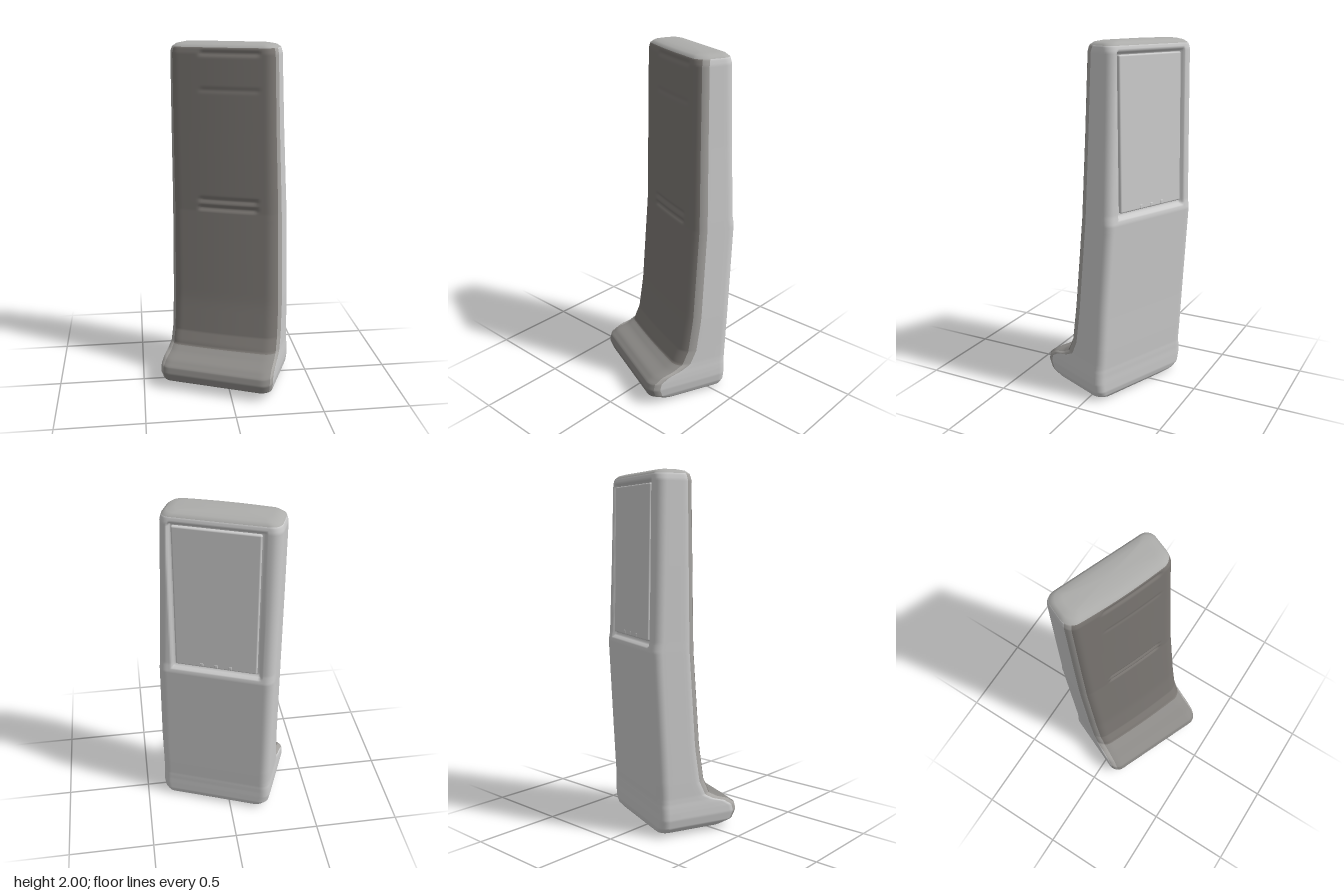
import * as THREE from 'three';
import { RoundedBoxGeometry } from 'three/addons/geometries/RoundedBoxGeometry.js';

// Body rings from bottom to top: y, left, right, back, front, corner radius
const RINGS = [
  [0.0, -0.23, 0.29, -0.185, 0.11, 0.06],
  [0.02, -0.3, 0.325, -0.203, 0.2, 0.065],
  [0.05, -0.327, 0.338, -0.211, 0.257, 0.065],
  [0.1, -0.337, 0.345, -0.212, 0.274, 0.065],
  [0.14, -0.336, 0.344, -0.212, 0.264, 0.065],
  [0.17, -0.334, 0.342, -0.213, 0.22, 0.07],
  [0.19, -0.332, 0.34, -0.213, 0.15, 0.075],
  [0.22, -0.331, 0.338, -0.215, 0.09, 0.075],
  [0.3, -0.333, 0.336, -0.22, 0.052, 0.075],
  [0.5, -0.336, 0.333, -0.231, 0.022, 0.075],
  [1.04, -0.343, 0.312, -0.264, -0.021, 0.07],
  [1.09, -0.343, 0.31, -0.256, -0.022, 0.07],
  [1.5, -0.345, 0.291, -0.247, -0.032, 0.065],
  [1.94, -0.346, 0.274, -0.239, -0.042, 0.06],
  [1.97, -0.339, 0.267, -0.233, -0.048, 0.06],
  [1.988, -0.315, 0.245, -0.214, -0.068, 0.05],
  [1.995, -0.28, 0.205, -0.185, -0.1, 0.03],
];
// The back turns slightly further out towards the left
const BACK_SKEW = 0.02;

const smooth = (a, b, x) => THREE.MathUtils.smoothstep(x, a, b);

function ringAt(y) {
  let i = 0;
  while (i < RINGS.length - 2 && y > RINGS[i + 1][0]) i++;
  const t = (y - RINGS[i][0]) / (RINGS[i + 1][0] - RINGS[i][0]);
  return RINGS[i].map((v, k) => THREE.MathUtils.lerp(v, RINGS[i + 1][k], t));
}

// How far a point lies inside a rectangle (negative when outside)
const inside = (x, y, x0, x1, y0, y1) => Math.min(x - x0, x1 - x, y - y0, y1 - y);

// Sunk bay on the back
const backDent = (x, y) => 0.022 * smooth(0, 0.016, inside(x, y, -0.275, 0.232, 1.062, 1.945));

// Creases across the middle and top of the front
function frontDent(x, y) {
  const ends = smooth(-0.17, -0.14, x) * (1 - smooth(0.17, 0.2, x));
  const crease = (y0, depth) => depth * ends * Math.max(0, 1 - Math.abs(y - y0) / 0.02);
  return crease(1.06, 0.012) + crease(1.11, 0.009) + crease(1.94, 0.008) + crease(1.74, 0.003);
}

// Gentle swell of the front above the foot, fuller towards the right-hand side
const frontSwell = (t, y) => smooth(0.14, 0.25, y) * (0.018 * t + 0.012 * Math.sin(Math.PI * t));

// One rounded rectangle of points, running from +x towards +z
function section(y) {
  const [, l, r, b, f, rad] = ringAt(y);
  const rb = Math.min(rad, 0.05);
  const pts = [];
  const side = (x0, z0, x1, z1, n, dent) => {
    for (let i = 1; i < n; i++) {
      const x = x0 + (x1 - x0) * i / n, z = z0 + (z1 - z0) * i / n;
      pts.push([x, y, z + (dent ? dent(x, y) : 0)]);
    }
  };
  const corner = (cx, cz, q, start) => {
    for (let i = 0; i <= 8; i++) {
      const a = start + i / 8 * Math.PI / 2;
      pts.push([cx + q * Math.cos(a), y, cz + q * Math.sin(a)]);
    }
  };
  corner(r - rad, f - rad, rad, 0);
  side(r - rad, f, l + rad, f, 40, (x, h) => -frontDent(x, h));
  corner(l + rad, f - rad, rad, Math.PI / 2);
  side(l, f - rad, l, b + rb, 5);
  corner(l + rb, b + rb, rb, Math.PI);
  side(l + rb, b, r - rb, b, 70, backDent);
  corner(r - rb, b + rb, rb, Math.PI * 1.5);
  side(r, b + rb, r, f - rad, 5);
  return pts.map(([x, h, z]) => {
    const t = (r - x) / (r - l), k = (z - b) / (f - b);
    return [x, h, z - BACK_SKEW * (1 - t) * (1 - k) + frontSwell(t, h) * k];
  });
}

// Builds the skin once and deals its faces out to the named parts
function skinParts() {
  const heights = [];
  for (let i = 0; i <= 50; i++) heights.push(i * 0.0064);
  for (let y = 0.36; y < 1.0; y += 0.04) heights.push(y);
  for (let i = 0; i <= 124; i++) heights.push(1 + i * 0.995 / 124);
  const rows = heights.map(section), n = rows[0].length;
  const pos = rows.flat(2);
  const parts = { shell: [], frontEdges: [], frontFace: [], foot: [], topCap: [] };
  const partAt = (y, i) => {
    if (y > 1.965) return parts.topCap;
    if (i > 53) return parts.shell;
    if (i < 3 || i > 50) return parts.frontEdges;
    return y < 0.215 ? parts.foot : parts.frontFace;
  };
  for (let j = 0; j < rows.length - 1; j++) {
    for (let i = 0; i < n; i++) {
      const a = j * n + i, b = j * n + (i + 1) % n;
      partAt(heights[j], i).push(a, a + n, b, b, a + n, b + n);
    }
  }
  // Bottom and top faces
  const bottom = rows.length * n, top = bottom + 1, last = bottom - n;
  pos.push(0.02, 0, -0.035, -0.04, 2, -0.142);
  for (let i = 0; i < n; i++) {
    const k = (i + 1) % n;
    parts.shell.push(bottom, i, k);
    parts.topCap.push(top, last + k, last + i);
  }
  // Shared smooth normals keep the seams between parts invisible
  const skin = new THREE.BufferGeometry();
  skin.setAttribute('position', new THREE.Float32BufferAttribute(pos, 3));
  skin.setIndex(Object.values(parts).flat());
  skin.computeVertexNormals();
  return Object.entries(parts).map(([name, index]) => {
    const g = skin.clone();
    g.setIndex(index);
    return [name, g];
  });
}

export function createModel() {
  const model = new THREE.Group();
  model.name = 'standingTerminal';
  const paint = (color) => new THREE.MeshStandardMaterial({ color });
  const light = paint(0xd2d2d2);
  const mats = {
    shell: light, frontEdges: paint(0xa5a3a0), frontFace: paint(0x7b7773),
    foot: paint(0x8c8a87), topCap: paint(0xadadab),
  };
  const add = (name, geo, mat, x, y, z, parent = model) => {
    const m = new THREE.Mesh(geo, mat);
    m.name = name;
    m.position.set(x, y, z);
    parent.add(m);
    return m;
  };

  for (const [name, geo] of skinParts()) add(name, geo, mats[name], 0, 0, 0);

  // Cover plate in the back bay, following the lean and turn of the back
  const panel = add('backPanel', new RoundedBoxGeometry(0.455, 0.83, 0.024, 3, 0.009), light, -0.021, 1.51, -0.243);
  panel.rotation.set(0.02, BACK_SKEW / 0.64, 0);

  // Small catches along the lower edge of the plate
  for (const x of [-0.08, 0, 0.08]) {
    add('panelCatch', new RoundedBoxGeometry(0.022, 0.025, 0.02, 2, 0.006), light, x, -0.4, -0.005, panel);
  }

  // The whole piece stands turned on its base
  model.rotation.y = -0.4;
  const root = new THREE.Group();
  root.name = 'model';
  root.add(model);
  return root;
}
